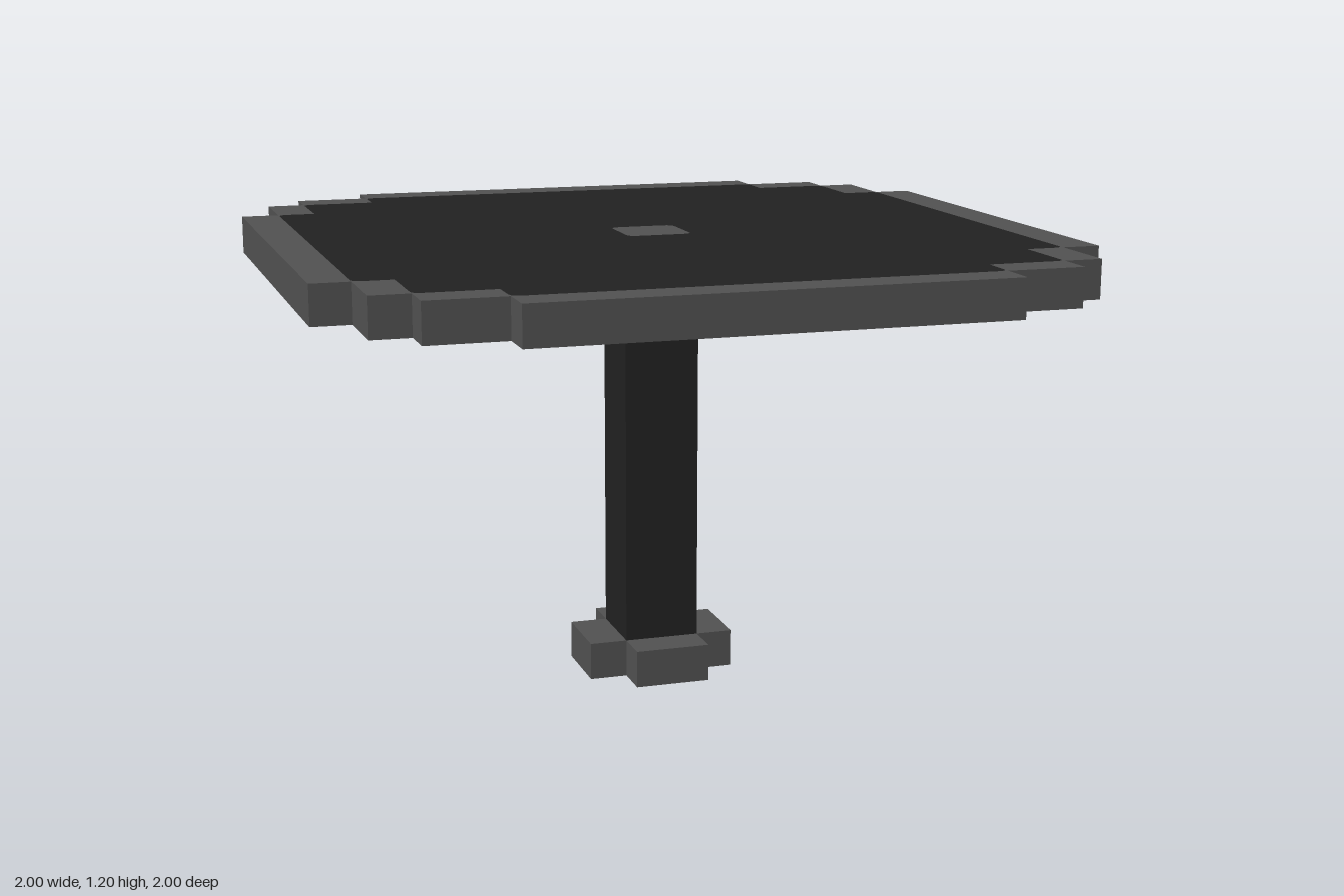
import * as THREE from 'three';

const darkMat = new THREE.MeshStandardMaterial({ name: 'charcoal', color: 0x222222 });
const greyMat = new THREE.MeshStandardMaterial({ name: 'grey', color: 0x535353 });

// Closed outline from one quadrant's corners, repeated by quarter turns; outward corners get radius r
function outline(quadrant, r = 0, Type = THREE.Shape) {
  const pts = [];
  for (let k = 0; k < 4; k++) {
    for (const [x, y] of quadrant) {
      pts.push(new THREE.Vector2(...[[x, y], [-y, x], [-x, -y], [y, -x]][k]));
    }
  }
  const path = new Type();
  pts.forEach((p, i) => {
    const a = pts[(i + pts.length - 1) % pts.length].clone().sub(p).normalize();
    const b = pts[(i + 1) % pts.length].clone().sub(p).normalize();
    const start = p.clone().addScaledVector(a, r);
    const end = p.clone().addScaledVector(b, r);
    const rounded = r > 0 && b.cross(a) > 0;
    const first = rounded ? start : p;
    if (i === 0) path.moveTo(first.x, first.y);
    else path.lineTo(first.x, first.y);
    if (rounded) path.quadraticCurveTo(p.x, p.y, end.x, end.y);
  });
  path.closePath();
  return path;
}

// Flat slab of the given outline, standing on height y
function slab(name, shape, hole, y, height, material) {
  if (hole) shape.holes.push(hole);
  const geo = new THREE.ExtrudeGeometry(shape, { depth: height, bevelEnabled: false, curveSegments: 4 });
  geo.rotateX(-Math.PI / 2);
  const mesh = new THREE.Mesh(geo, material);
  mesh.name = name;
  mesh.position.y = y;
  return mesh;
}

export function createModel() {
  const table = new THREE.Group();
  table.name = 'table';

  // Stepped round top: grey rim, dark panel, grey centre inlay
  const rim = [[1, 0.6], [0.9, 0.6], [0.9, 0.8], [0.8, 0.8], [0.8, 0.9], [0.6, 0.9], [0.6, 1]];
  const panel = [[0.9, 0.6], [0.8, 0.6], [0.8, 0.8], [0.6, 0.8], [0.6, 0.9]];
  const inlay = [[0.086, 0.086]];
  const r = 0.025;
  table.add(
    slab('tabletopRim', outline(rim), outline(panel, r, THREE.Path), 1.1, 0.1, greyMat),
    slab('tabletopPanel', outline(panel, r), outline(inlay, r, THREE.Path), 1.1, 0.1, darkMat),
    slab('centreInlay', outline(inlay, r), null, 1.1, 0.1, greyMat)
  );

  // Square column from the floor to the top
  const column = new THREE.Mesh(new THREE.BoxGeometry(0.2, 1.1, 0.2), darkMat);
  column.name = 'column';
  column.position.y = 0.55;
  table.add(column);

  // Four blocks around the column, at its foot and under the top
  for (const [name, y] of [['foot', 0.05], ['collar', 1.05]]) {
    const ring = new THREE.Group();
    ring.name = name;
    for (let i = 0; i < 4; i++) {
      const block = new THREE.Mesh(new THREE.BoxGeometry(0.1, 0.1, 0.2), greyMat);
      block.name = name + 'Block';
      const angle = i * Math.PI / 2;
      block.position.set(0.15 * Math.cos(angle), y, -0.15 * Math.sin(angle));
      block.rotation.y = angle;
      ring.add(block);
    }
    table.add(ring);
  }
  return table;
}
